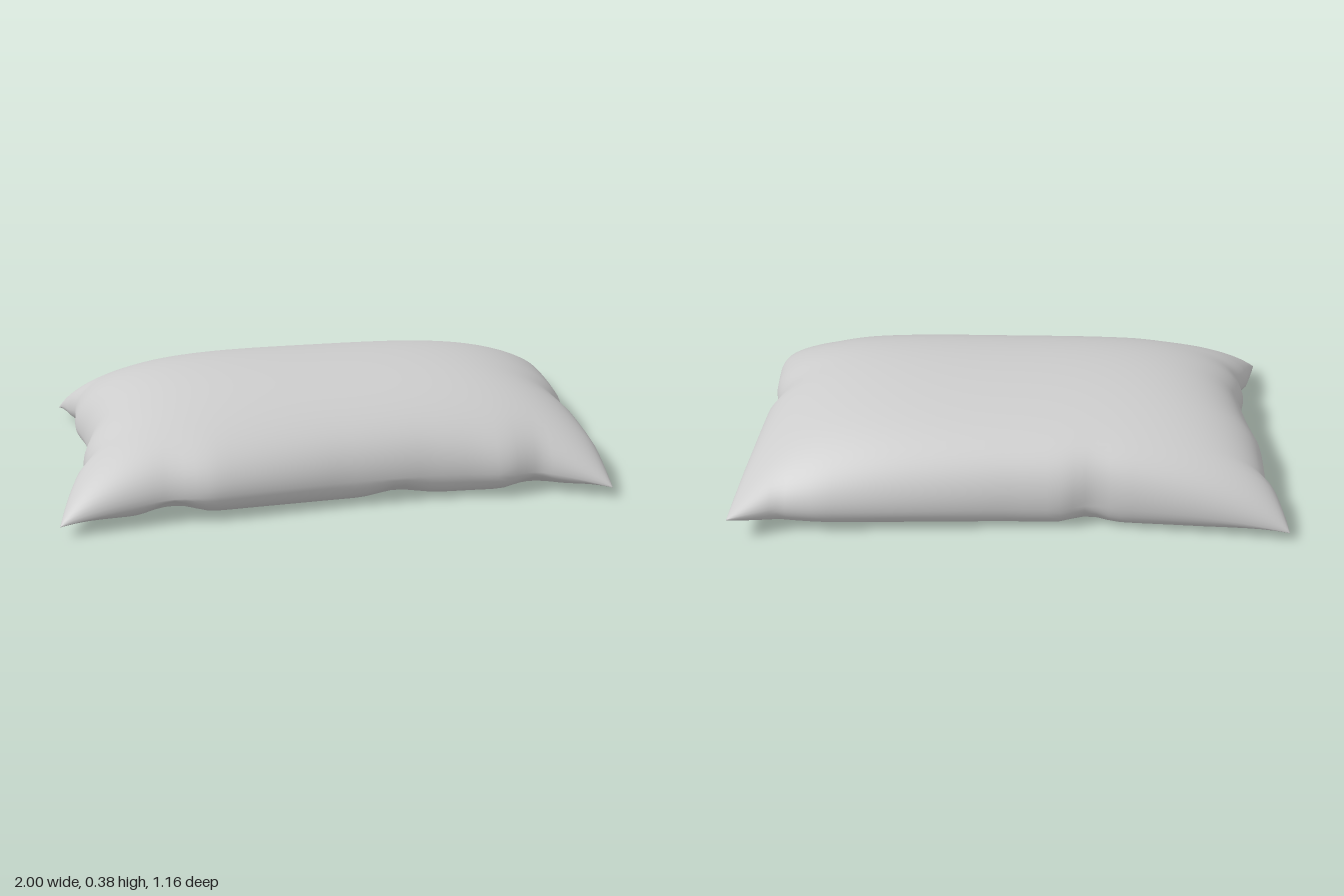
import * as THREE from 'three';
import { mergeVertices } from 'three/addons/utils/BufferGeometryUtils.js';

const HALF_W = 0.93, HALF_D = 0.51, NU = 64, NV = 44;

// Seam outline of each side: [position along the side, outward coordinate]
const BACK = [[-1, -0.515], [-0.78, -0.5], [-0.42, -0.475], [-0.31, -0.455], [-0.21, -0.485], [0, -0.49], [0.72, -0.535], [0.86, -0.53], [1, -0.585]];
const FRONT = [[-1, 0.575], [-0.65, 0.53], [-0.5, 0.548], [-0.3, 0.53], [0, 0.505], [0.32, 0.495], [0.5, 0.505], [0.63, 0.52], [0.76, 0.495], [1, 0.573]];
const LEFT = [[-1, 0.995], [-0.4, 0.97], [0, 0.955], [0.18, 0.92], [0.4, 0.95], [0.75, 0.965], [1, 0.963]];
const RIGHT = [[-1, -1], [-0.72, -0.96], [-0.65, -0.93], [-0.3, -0.93], [-0.1, -0.9], [0.2, -0.875], [0.42, -0.9], [0.6, -0.89], [0.7, -0.93], [1, -0.983]];

// Tucks on the underside near the seam: u, v, radius, lift
const TUCKS = [[-0.64, 0.97, 0.08, 0.07], [0.22, 0.97, 0.09, 0.045], [0.74, 0.97, 0.08, 0.04],
  [-0.3, -0.97, 0.07, 0.04], [-0.96, 0.15, 0.1, 0.04], [-0.96, 0.6, 0.08, 0.04], [0.97, 0.15, 0.08, 0.05]];

function sample(points, t) {
  for (let i = 1; i < points.length; i++) {
    const [t0, a] = points[i - 1], [t1, b] = points[i];
    if (t <= t1) return THREE.MathUtils.lerp(a, b, (t - t0) / (t1 - t0));
  }
  return points[points.length - 1][1];
}

// Height of the seam, dropping at three of the corners
function seamHeight(u, v) {
  const drop = u > 0 && v < 0 ? 0 : 0.06;
  return 0.1 - drop * Math.abs(u * v) ** 5;
}

function pillowPoint(u, v, top) {
  const sideX = sample(u > 0 ? LEFT : RIGHT, v);
  const sideZ = sample(v > 0 ? FRONT : BACK, u);
  const x = HALF_W * u + (sideX - Math.sign(u) * HALF_W) * Math.abs(u) ** 6;
  const z = HALF_D * v + (sideZ - Math.sign(v) * HALF_D) * Math.abs(v) ** 6;
  const seam = seamHeight(u, v);
  const dome = (pu, pv) => Math.sqrt(Math.max(0, 1 - Math.abs(u) ** pu) * Math.max(0, 1 - Math.abs(v) ** pv));
  if (top) return [x, seam + (0.382 - seam) * dome(3.6, 2.1), z];
  // Flat base with a rounded rim and small tucks
  const belly = dome(9, 9);
  let y = seam * (1 - Math.min(1, belly * 1.1));
  for (const [tu, tv, r, lift] of TUCKS) {
    const d2 = (u - tu) ** 2 + ((v - tv) * 0.6) ** 2;
    y += lift * Math.exp(-d2 / (r * r)) * Math.min(1, belly);
  }
  return [x, Math.min(y, seam), z];
}

function pillowGeometry() {
  const positions = [], index = [];
  // Rows crowd toward the seam so the rim stays round
  const spread = (k, n) => Math.sin((k / n - 0.5) * Math.PI);
  for (const top of [true, false]) {
    const start = positions.length / 3;
    for (let j = 0; j <= NV; j++) {
      for (let i = 0; i <= NU; i++) positions.push(...pillowPoint(spread(i, NU), spread(j, NV), top));
    }
    for (let j = 0; j < NV; j++) {
      for (let i = 0; i < NU; i++) {
        const a = start + j * (NU + 1) + i, b = a + 1, c = a + NU + 1, d = c + 1;
        if (top) index.push(a, c, b, b, c, d);
        else index.push(a, b, c, b, d, c);
      }
    }
  }
  const geometry = new THREE.BufferGeometry();
  geometry.setAttribute('position', new THREE.Float32BufferAttribute(positions, 3));
  geometry.setIndex(index);
  const welded = mergeVertices(geometry, 1e-5);
  welded.computeVertexNormals();
  return welded;
}

export function createModel() {
  const fabric = new THREE.MeshStandardMaterial({ color: 0xcccccc });
  fabric.name = 'light grey fabric';
  const pillow = new THREE.Mesh(pillowGeometry(), fabric);
  pillow.name = 'pillow';
  const group = new THREE.Group();
  group.name = 'pillowModel';
  group.add(pillow);
  return group;
}
